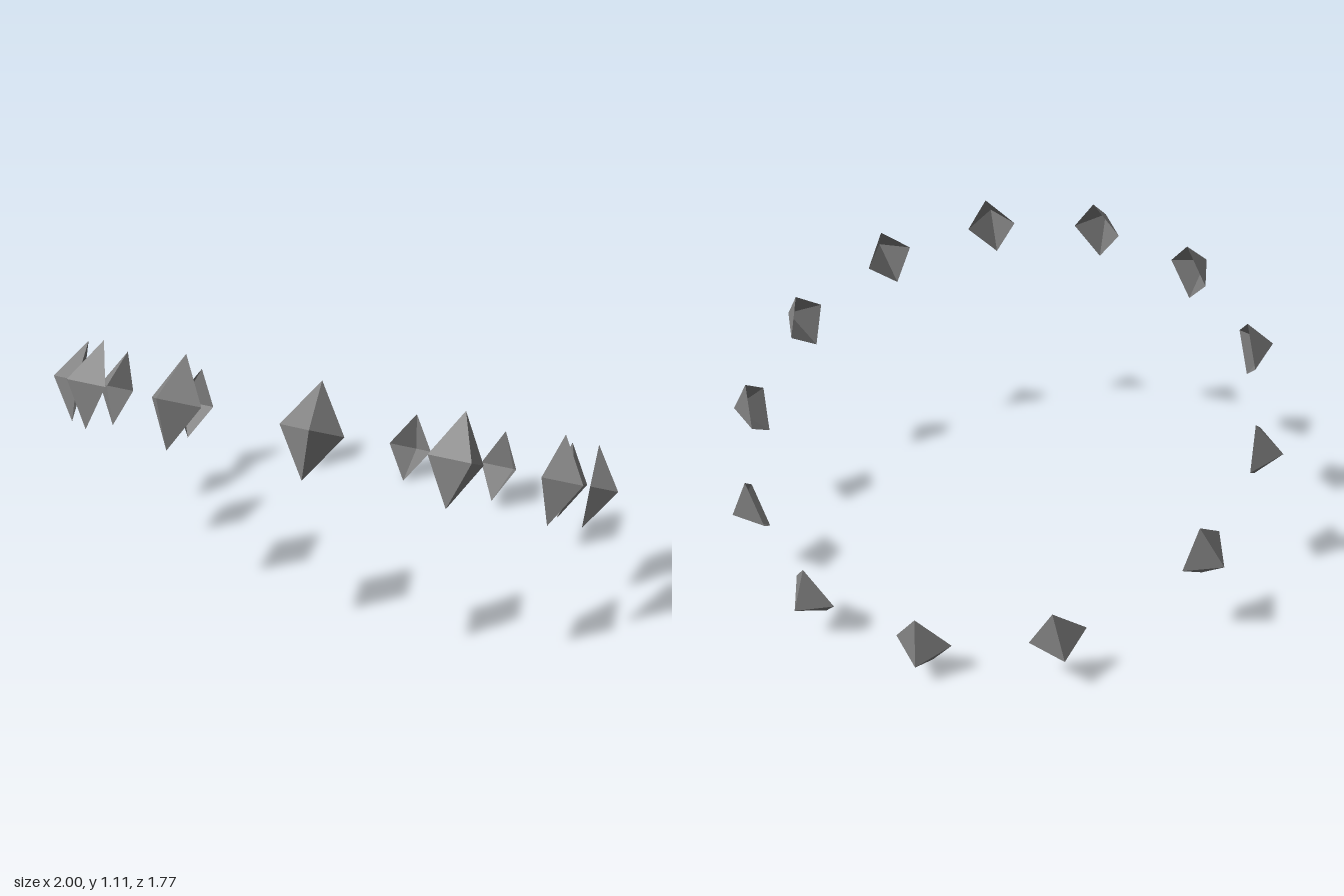
import * as THREE from 'three';

const COUNT = 13;
const STEP = THREE.MathUtils.degToRad(27.15);
const RING_RADIUS = 0.913;
const TILT = THREE.MathUtils.degToRad(28.1);

export function createModel() {
  const model = new THREE.Group();
  model.name = 'shardRing';

  const material = new THREE.MeshStandardMaterial({
    color: 0x828282, flatShading: true, side: THREE.DoubleSide,
  });

  // Outer half of a stretched octahedron, open on its inner side (outward is +x)
  const profile = [[0, -0.145], [0.094, 0], [0, 0.145]].map(([r, y]) => new THREE.Vector2(r, y));
  const shardGeometry = new THREE.LatheGeometry(profile, 2, 0, Math.PI);

  // Tilted ring, higher at the front
  const ring = new THREE.Group();
  ring.name = 'tiltedRing';
  ring.position.set(0.0075, 0.558, 0);
  ring.rotation.x = -TILT;
  model.add(ring);

  // Evenly stepped shards, leaving one wider gap at the back of the ring
  for (let i = 0; i < COUNT; i++) {
    const angle = Math.PI + STEP * (1 - i);
    const shard = new THREE.Mesh(shardGeometry, material);
    shard.name = `shard${i + 1}`;
    shard.position.set(RING_RADIUS * Math.cos(angle), 0, RING_RADIUS * Math.sin(angle));
    shard.rotation.y = -angle;
    ring.add(shard);
  }
  return model;
}
